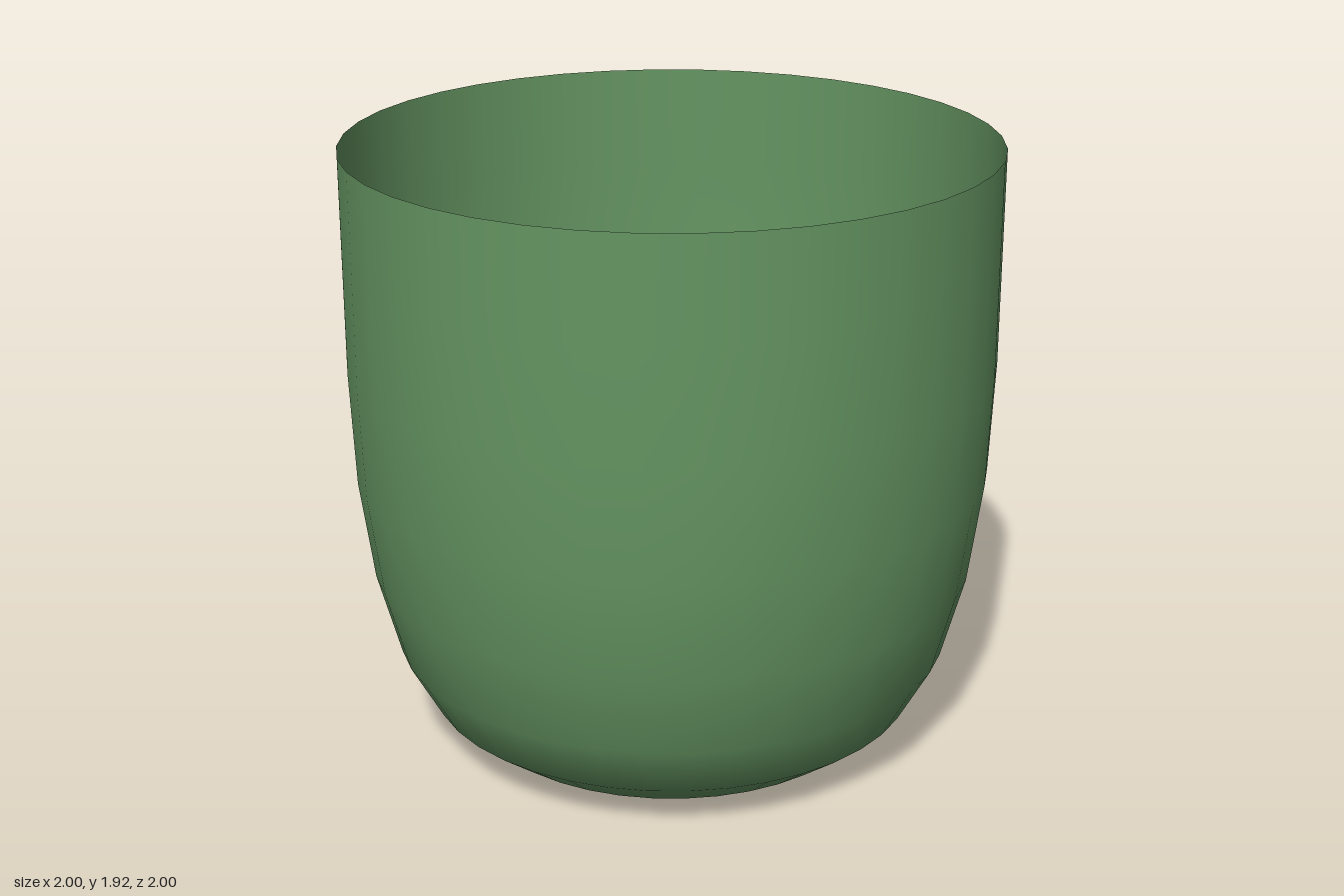
import * as THREE from 'three';

export function createModel() {
  const group = new THREE.Group();
  group.name = 'cup';

  // Thin-walled open cup: flat base, rounded shoulder, straight upper wall
  const profile = [
    [0, 0], [0.25, 0], [0.46, 0.005], [0.635, 0.04], [0.77, 0.14], [0.87, 0.32],
    [0.942, 0.585], [0.985, 0.9], [1, 1.25], [1, 1.6], [1, 1.92],
  ].map(([r, y]) => new THREE.Vector2(r, y));

  const material = new THREE.MeshStandardMaterial({ color: 0x659562, side: THREE.DoubleSide });
  const shell = new THREE.Mesh(new THREE.LatheGeometry(profile, 40), material);
  shell.name = 'cupShell';
  group.add(shell);
  return group;
}
